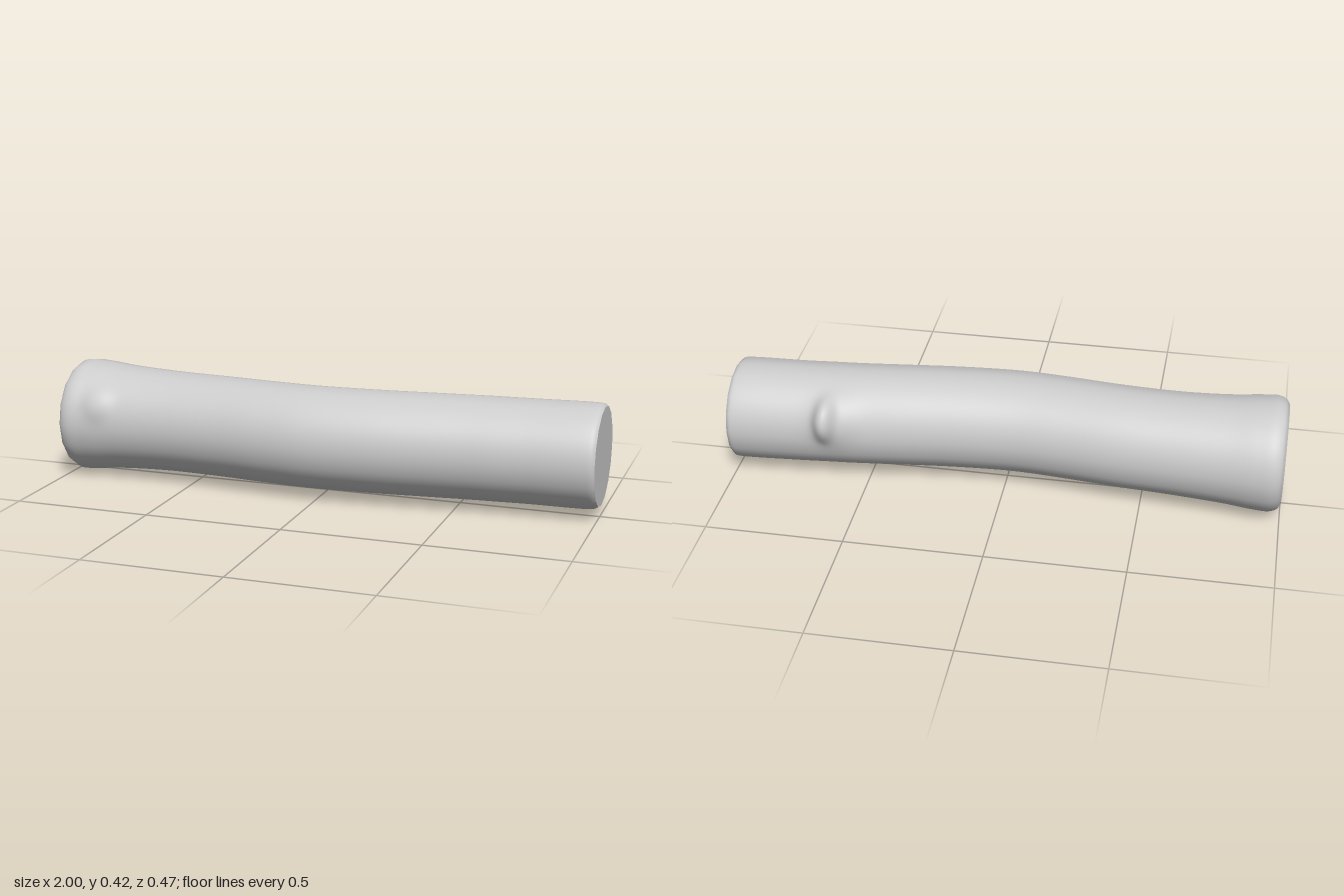
import * as THREE from 'three';

const SIDES = 16, SUB = 6, AROUND = SIDES * SUB, STEPS = 10;
const AXIS_Y = 0.212;

// Stations along the log: x, sideways bend (z), radius
const stations = [
  [-1, 0, 0.178], [-0.988, 0, 0.198], [-0.96, 0, 0.21], [-0.9, -0.001, 0.208],
  [-0.8, 0, 0.198], [-0.62, 0.005, 0.189], [-0.4, 0.019, 0.187], [-0.2, 0.04, 0.187],
  [-0.03, 0.051, 0.187], [0.2, 0.04, 0.187], [0.4, 0.019, 0.187], [0.55, 0.003, 0.187],
  [0.64, -0.004, 0.187], [0.75, -0.013, 0.187], [0.975, -0.025, 0.187],
  [0.99, -0.026, 0.184], [1, -0.026, 0.177],
];

// Branch stubs: x, angle from the top towards +z, height, half-lengths along and around
const knots = [
  { x: 0.635, a: -Math.PI / 2 + 0.4, h: 0.04, lx: 0.036, la: 0.068 },
  { x: 0.615, a: -Math.PI / 2 + 0.4, h: 0.016, lx: 0.085, la: 0.09 },
  { x: -0.84, a: Math.PI / 2 - 0.45, h: 0.012, lx: 0.05, la: 0.06 },
];

function swelling(x, a, r) {
  return knots.reduce((sum, k) => {
    const da = Math.atan2(Math.sin(a - k.a), Math.cos(a - k.a));
    const d2 = ((x - k.x) / k.lx) ** 2 + ((da * r) / k.la) ** 2;
    return sum + k.h * Math.exp(-(d2 ** 1.4));
  }, 0);
}

// Ratio of a 16-sided outline to its circle at angle a
function facet(a) {
  const w = (2 * Math.PI) / SIDES;
  const m = ((a % w) + w) % w;
  return Math.cos(w / 2) / Math.cos(m - w / 2);
}

function barkGeometry() {
  const curve = new THREE.CatmullRomCurve3(stations.map((s) => new THREE.Vector3(...s)));
  const rings = (stations.length - 1) * STEPS;
  const round = [], faceted = [], index = [];
  for (let i = 0; i <= rings; i++) {
    const { x, y: bend, z: r } = curve.getPoint(i / rings);
    for (let j = 0; j < AROUND; j++) {
      const a = (j / AROUND) * Math.PI * 2;
      const bump = swelling(x, a, r);
      const put = (list, radius) =>
        list.push(x, AXIS_Y + radius * Math.cos(a), bend + radius * Math.sin(a));
      put(round, r + bump);
      put(faceted, r * facet(a) + bump);
      if (i < rings) {
        const n = (j + 1) % AROUND;
        const p = i * AROUND + j, q = i * AROUND + n;
        index.push(p, q, p + AROUND, q, q + AROUND, p + AROUND);
      }
    }
  }
  // Smooth normals come from the round form, the outline from the faceted one
  const geo = new THREE.BufferGeometry();
  geo.setIndex(index);
  geo.setAttribute('position', new THREE.Float32BufferAttribute(round, 3));
  geo.computeVertexNormals();
  geo.setAttribute('position', new THREE.Float32BufferAttribute(faceted, 3));
  return geo;
}

export function createModel() {
  const group = new THREE.Group();
  group.name = 'log';
  const material = new THREE.MeshStandardMaterial({ color: 0xcccccc });

  // Bent trunk with flared end and knots
  const bark = new THREE.Mesh(barkGeometry(), material);
  bark.name = 'trunk';
  group.add(bark);

  // Flat sawn ends
  for (const [name, [x, z, r]] of [['flaredCutEnd', stations[0]], ['cutEnd', stations.at(-1)]]) {
    const end = new THREE.Mesh(new THREE.CircleGeometry(r, SIDES), material);
    end.name = name;
    end.rotation.y = Math.sign(x) * Math.PI / 2;
    end.position.set(x, AXIS_Y, z);
    group.add(end);
  }
  return group;
}
